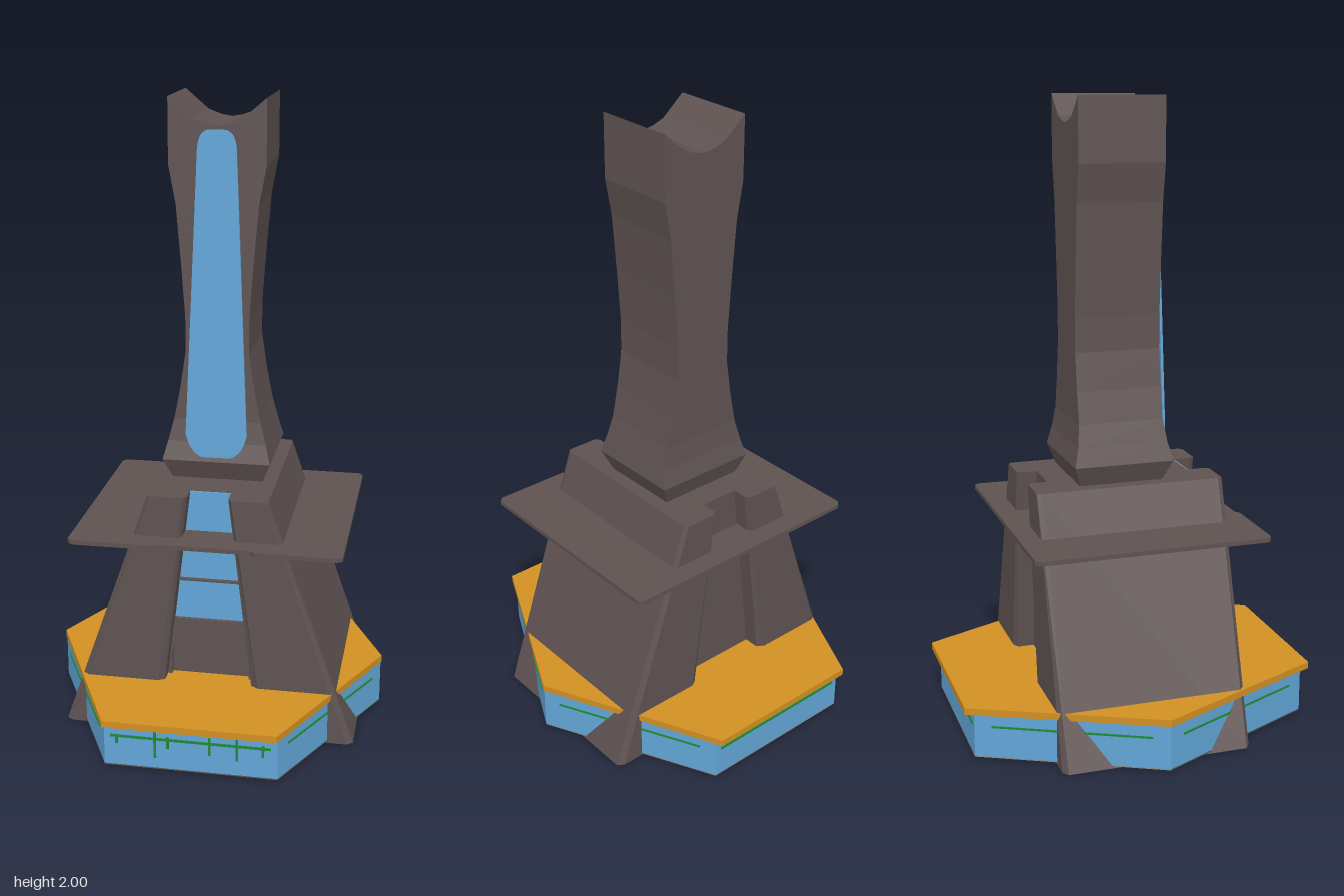
import * as THREE from 'three';

const mat = (name, color, double) => {
  const m = new THREE.MeshStandardMaterial({ color });
  m.name = name;
  if (double) m.side = THREE.DoubleSide;
  return m;
};

export function createModel() {
  const stone = mat('dark stone', 0x5f5352);
  const glass = mat('blue glass', 0x62a6d8);
  const gold = mat('gold', 0xd29023);
  const green = mat('green trim', 0x1f8a36);
  const grey = mat('grey underside', 0x8c8c8c, true);

  const model = new THREE.Group();
  const CX = 0.007; // the tower sits slightly off centre
  const add = (name, geo, material, x = 0, y = 0, z = 0) => {
    const mesh = new THREE.Mesh(geo, material);
    mesh.name = name;
    mesh.position.set(x, y, z);
    model.add(mesh);
    return mesh;
  };
  const shapeOf = pts => new THREE.Shape(pts.map(p => new THREE.Vector2(p[0], p[1])));
  const extrude = (shape, depth) =>
    new THREE.ExtrudeGeometry(shape, { depth, bevelEnabled: false, curveSegments: 16 });
  // Plan outline given as [x, z], raised from y = 0
  const slab = (pts, height) =>
    extrude(shapeOf(pts.map(([x, z]) => [x, -z])), height).rotateX(-Math.PI / 2);

  // Hexagonal base: glazed walls, gold roof, underside
  const hex = (z, x = 0.54) => [[0.27, z], [x, 0], [0.27, -z], [-0.27, -z], [-x, 0], [-0.27, z]];
  add('baseWalls', slab(hex(0.547), 0.14), glass, 0, 0.01, 0);
  add('baseRoof', slab(hex(0.576, 0.543), 0.022), gold, 0, 0.15, 0);
  add('baseUndersideBack', slab([[0.54, 0], [0.27, -0.547], [-0.27, -0.547], [-0.54, 0]], 0.004), grey, 0, 0.006, 0);
  add('baseUndersideFront', slab([[0.54, 0], [0.27, 0.547], [-0.27, 0.547], [-0.54, 0]], 0.004), stone, 0, 0.006, 0);

  // Green trim on the base walls
  for (const s of [1, -1]) {
    add('trimBand', new THREE.BoxGeometry(0.5, 0.008, 0.004), green, 0, 0.11, s * 0.548);
    for (const t of [1, -1]) {
      const band = add('sideTrimBand', new THREE.BoxGeometry(0.5, 0.006, 0.004), green, t * 0.406, 0.11, s * 0.274);
      band.rotation.y = s * t * Math.atan2(0.547, 0.27);
    }
  }
  for (const [x, h] of [[-0.23, 0.03], [-0.11, 0.11], [-0.07, 0.04], [0.06, 0.06], [0.145, 0.08], [0.225, 0.04]])
    add('trimPost', new THREE.BoxGeometry(0.008, h, 0.005), green, x, 0.1, 0.548);

  // Lower body: grooved plan with chamfered corners, tapering in x towards the top
  const H = 0.805, F = 0.295, B = -0.315, c = 0.015;
  const taper = y => 1 - 0.596 * y / H;
  const half = [
    [0.16, 0.22], [0.16, F - c], [0.185, F], [0.45, F], [0.47, F - c],
    [0.47, B + c], [0.45, B], [0.185, B], [0.16, B + c], [0.16, -0.25],
  ];
  const plan = [...half, ...half.map(([x, z]) => [-x, z]).reverse()];
  const body = slab(plan, H);
  const bp = body.attributes.position;
  for (let i = 0; i < bp.count; i++) bp.setX(i, bp.getX(i) * taper(bp.getY(i)));
  body.computeVertexNormals();
  add('body', body, stone, CX);
  add('bodyUnderside', slab([[0.44, 0.21], [0.44, -0.24], [-0.44, -0.24], [-0.44, 0.21]], 0.002), grey, CX, -0.001, 0);

  // Window strip in the front groove, with a ledge
  const w = y => 0.16 * taper(y);
  const strip = (y0, y1) => shapeOf([[-w(y0), y0], [w(y0), y0], [w(y1), y1], [-w(y1), y1]]);
  add('grooveWindow', extrude(strip(0.37, 0.803), 0.006), glass, CX, 0, 0.22);
  add('windowLedge', new THREE.BoxGeometry(0.2, 0.006, 0.02), stone, CX, 0.507, 0.23);

  // Arched doorway wall below the window
  const wall = strip(0.15, 0.37);
  const arch = new THREE.Path();
  arch.moveTo(-0.125, 0.16);
  arch.lineTo(0.125, 0.16);
  arch.lineTo(0.125, 0.23);
  arch.absarc(0, 0.23, 0.125, 0, Math.PI, false);
  arch.lineTo(-0.125, 0.16);
  wall.holes.push(arch);
  add('doorArch', extrude(wall, 0.02), stone, CX, 0, 0.22);

  // Thin square platform with a shallow step in its front edge
  const r = 0.015, px = 0.428, f = 0.37, b = -0.382;
  add('platform', slab([
    [-px + r, b], [px - r, b], [px, b + r], [px, f - r], [px - r, f], [0.16, f], [0.145, f - 0.012],
    [-0.145, f - 0.012], [-0.16, f], [-px + r, f], [-px, f - r], [-px, b + r],
  ].reverse(), 0.014), stone, CX, 0.658, 0);

  // Upper tower: waisted silhouette with a scooped top
  const side = [[0.138, 1.0], [0.118, 1.1], [0.1, 1.22], [0.1, 1.33], [0.112, 1.5], [0.127, 1.68], [0.149, 1.8], [0.149, 2]];
  const scoop = [[0.075, 1.937], [0.035, 1.922], [0, 1.916], [-0.035, 1.922], [-0.075, 1.937]];
  const outline = [...side, ...scoop, ...side.map(([x, y]) => [-x, y]).reverse()];
  add('tower', extrude(shapeOf(outline), 0.275), stone, CX, 0, -0.165);

  // Flared tower foot: stacked rectangular sections [y, half width, back, front]
  const rings = [[0.8, 0.143, -0.163, 0.105], [0.87, 0.172, -0.187, 0.135], [0.93, 0.156, -0.173, 0.12], [1.0, 0.138, -0.165, 0.11]];
  const verts = [];
  const corners = ([y, x, zb, zf]) => [[-x, y, zf], [x, y, zf], [x, y, zb], [-x, y, zb]];
  for (let i = 0; i < rings.length - 1; i++) {
    const lo = corners(rings[i]), hi = corners(rings[i + 1]);
    for (let k = 0; k < 4; k++) {
      const n = (k + 1) % 4;
      for (const p of [lo[k], lo[n], hi[n], lo[k], hi[n], hi[k]]) verts.push(...p);
    }
  }
  const foot = new THREE.BufferGeometry();
  foot.setAttribute('position', new THREE.Float32BufferAttribute(verts, 3));
  foot.computeVertexNormals();
  add('towerFoot', foot, stone, CX);

  // Tall rounded window, leaning slightly out at its lower end
  const pane = new THREE.Shape();
  pane.moveTo(-0.045, 0.885);
  pane.lineTo(0.045, 0.885);
  pane.quadraticCurveTo(0.085, 0.9, 0.097, 0.96);
  pane.lineTo(0.06, 1.85);
  pane.quadraticCurveTo(0.055, 1.905, 0.02, 1.905);
  pane.lineTo(-0.02, 1.905);
  pane.quadraticCurveTo(-0.055, 1.905, -0.06, 1.85);
  pane.lineTo(-0.097, 0.96);
  pane.quadraticCurveTo(-0.085, 0.9, -0.045, 0.885);
  const paneGeo = extrude(pane, 0.008);
  const pp = paneGeo.attributes.position;
  for (let i = 0; i < pp.count; i++)
    pp.setZ(i, pp.getZ(i) + 0.105 + 0.022 * (1.905 - pp.getY(i)) / 1.02);
  paneGeo.computeVertexNormals();
  add('towerWindow', paneGeo, glass, CX);

  return model;
}
